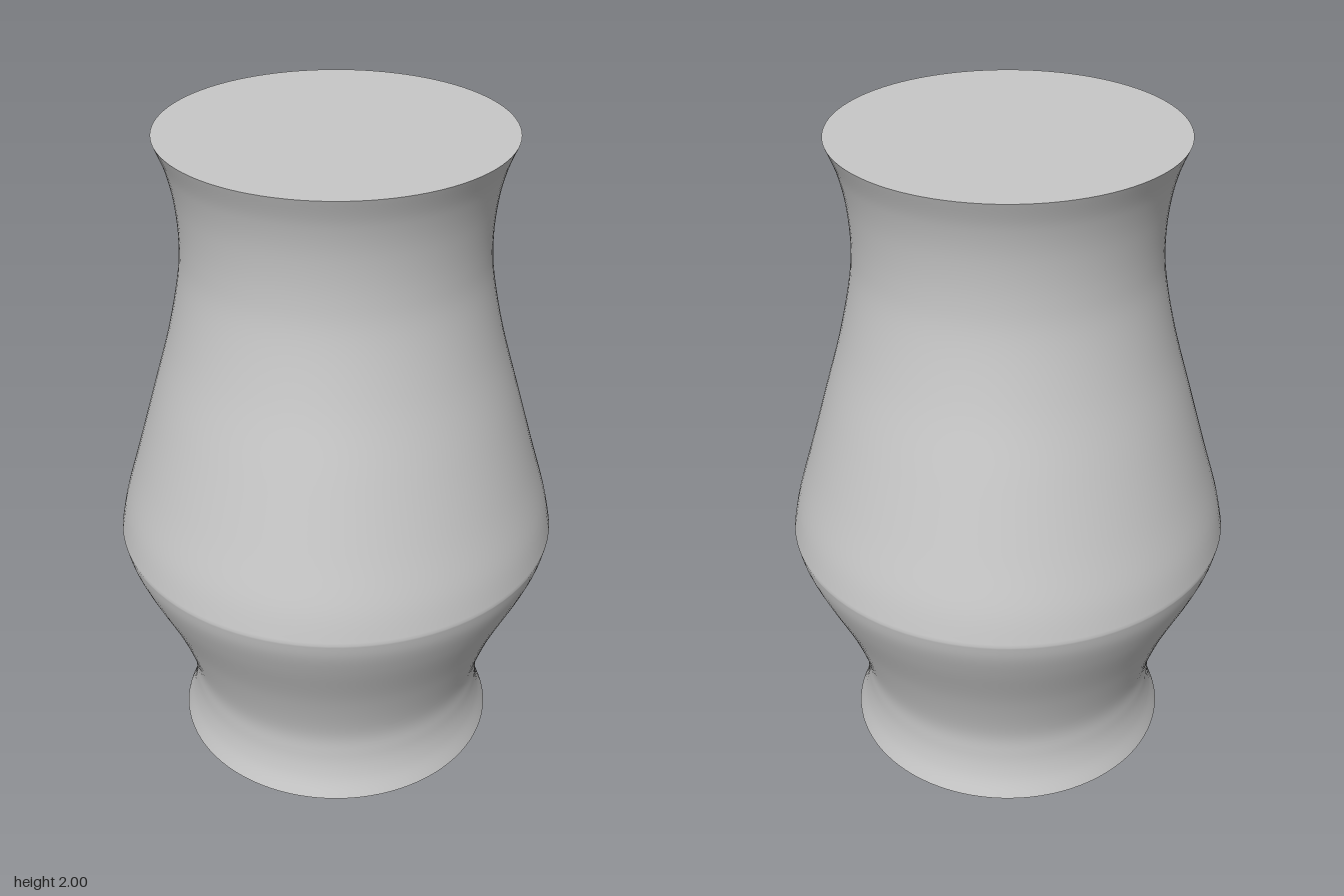
import * as THREE from 'three';

const SEGMENTS = 96;

// Smooth run of profile points (radius, height)
function profile(points, divisions) {
  return new THREE.SplineCurve(points.map(([r, y]) => new THREE.Vector2(r, y))).getPoints(divisions);
}

export function createModel() {
  const model = new THREE.Group();
  model.name = 'vase';
  const grey = new THREE.MeshStandardMaterial({ color: 0xc8c8c8 });
  grey.name = 'light grey';

  // Flared foot rising to the shoulder ridge, then tapering to the flared neck
  const lower = profile([[0.5, 0], [0.476, 0.07], [0.465, 0.15], [0.472, 0.25], [0.53, 0.42], [0.613, 0.6], [0.65, 0.69], [0.665, 0.75]], 40);
  const upper = profile([[0.665, 0.75], [0.644, 0.85], [0.6, 1], [0.543, 1.2], [0.487, 1.4], [0.45, 1.58], [0.441, 1.7], [0.449, 1.82], [0.47, 1.92], [0.5, 2]], 60);
  const body = new THREE.Mesh(new THREE.LatheGeometry([...lower, ...upper.slice(1)], SEGMENTS), grey);
  body.name = 'body';
  model.add(body);

  // Flat discs closing both ends
  for (const [name, y, turn] of [['topCap', 2, -1], ['bottomCap', 0, 1]]) {
    const cap = new THREE.Mesh(new THREE.CircleGeometry(0.5, SEGMENTS), grey);
    cap.name = name;
    cap.rotation.x = turn * Math.PI / 2;
    cap.position.y = y;
    model.add(cap);
  }
  return model;
}
